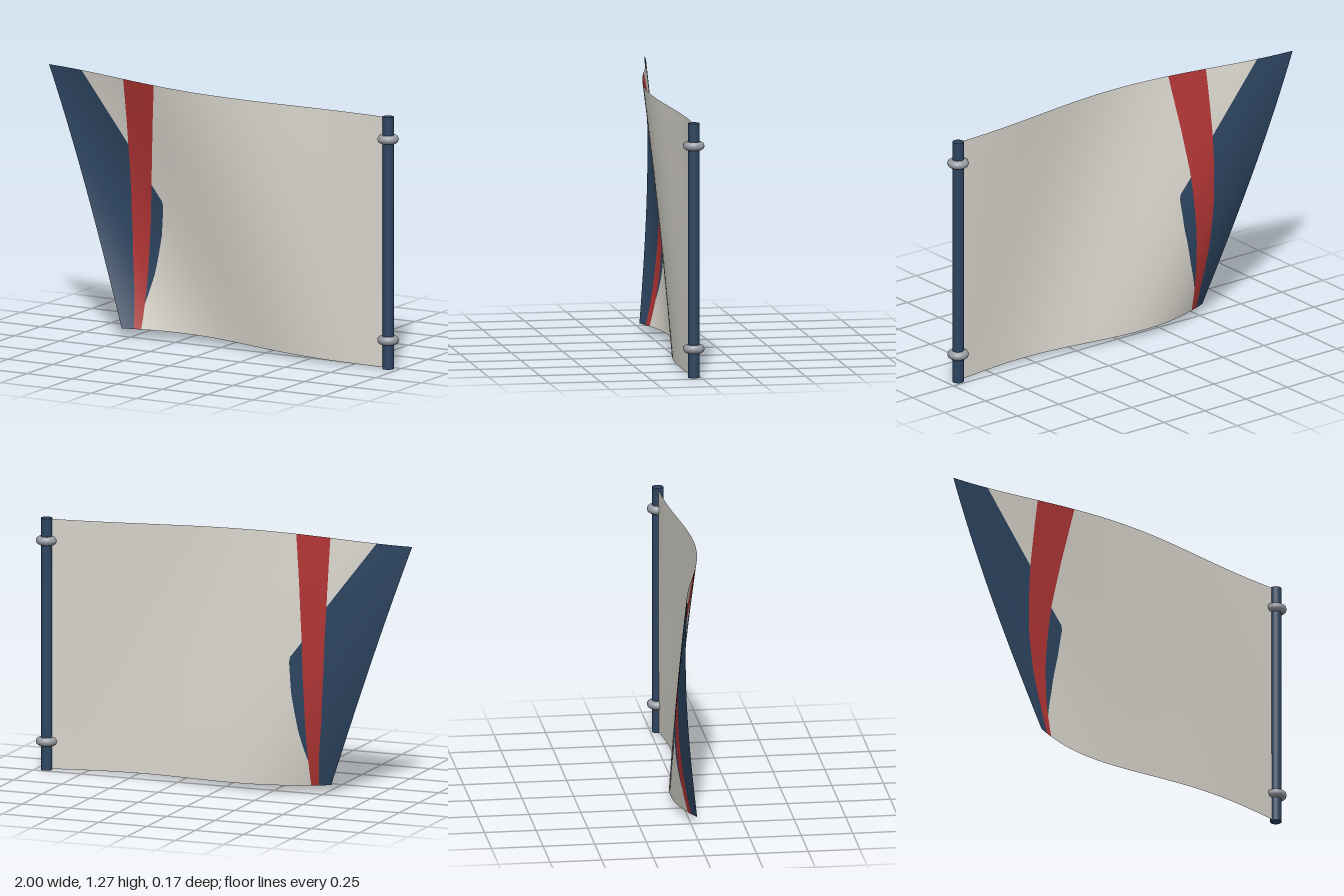
import * as THREE from 'three';

const POLE_X = 0.945, POLE_Z = 0.035, ROWS = 100;

// Waving cloth: u runs from pole (0) to free edge (1), v from bottom to top
const flyX = v => -0.535 - 0.465 * v;
function cloth(x, v) {
  const u = (POLE_X - x) / (POLE_X - flyX(v));
  return new THREE.Vector3(
    x,
    0.004 + 0.04 * u + 1.227 * v,
    POLE_Z + 0.12 * u * Math.sin(5 * u - 0.32 + 1.52 * (1 - v)));
}

// Piecewise linear boundary x(v) from [v, x] points
const boundary = points => v => {
  let i = 1;
  while (i < points.length - 1 && v > points[i][0]) i++;
  const [v0, x0] = points[i - 1], [v1, x1] = points[i];
  return THREE.MathUtils.mapLinear(v, v0, v1, x0, x1);
};

// Strip of cloth between two boundaries, with normals from the wave itself
function strip(name, material, left, right, columns, vMin = 0) {
  const positions = [], normals = [], index = [], e = 0.001;
  for (let r = 0; r <= ROWS; r++) {
    const v = vMin + (1 - vMin) * r / ROWS;
    for (let c = 0; c <= columns; c++) {
      const x = THREE.MathUtils.lerp(left(v), right(v), c / columns);
      const dx = cloth(x + e, v).sub(cloth(x - e, v));
      const dv = cloth(x, v + e).sub(cloth(x, v - e));
      positions.push(...cloth(x, v).toArray());
      normals.push(...dx.cross(dv).normalize().toArray());
      if (r < ROWS && c < columns) {
        const a = r * (columns + 1) + c, b = a + columns + 1;
        index.push(a, a + 1, b + 1, a, b + 1, b);
      }
    }
  }
  const geometry = new THREE.BufferGeometry();
  geometry.setAttribute('position', new THREE.Float32BufferAttribute(positions, 3));
  geometry.setAttribute('normal', new THREE.Float32BufferAttribute(normals, 3));
  geometry.setIndex(index);
  const mesh = new THREE.Mesh(geometry, material);
  mesh.name = name;
  return mesh;
}

export function createModel() {
  const flag = new THREE.Group();
  flag.name = 'flag';
  const mat = (name, color, side = THREE.FrontSide) => {
    const m = new THREE.MeshStandardMaterial({ color, side });
    m.name = name;
    return m;
  };
  const white = mat('offWhiteCloth', 0xd8d5cc, THREE.DoubleSide);
  const navy = mat('navy', 0x2c4460, THREE.DoubleSide);
  const red = mat('redCloth', 0xb03434, THREE.DoubleSide);
  const metal = mat('greyMetal', 0x9a9ea5);

  // Colour boundaries across the cloth
  const redLeft = boundary([[0, -0.48], [0.1, -0.49], [0.26, -0.515], [0.46, -0.533], [0.73, -0.541], [1, -0.54]]);
  const redRight = boundary([[0, -0.445], [0.1, -0.441], [0.34, -0.431], [0.58, -0.412], [0.79, -0.381], [1, -0.345]]);
  const navyRight = boundary([[0, -0.46], [0.1, -0.441], [0.22, -0.4], [0.38, -0.361], [0.5, -0.345],
    [0.52, -0.35], [0.58, -0.41], [0.73, -0.541], [1, -0.805]]);
  const navyInner = v => Math.min(navyRight(v), redLeft(v));
  const navyOuter = v => Math.max(navyRight(v), redRight(v));

  flag.add(
    strip('navyFlyPanel', navy, flyX, navyInner, 10),
    strip('upperWhiteCorner', white, navyInner, redLeft, 8, 0.73),
    strip('redStripe', red, redLeft, redRight, 8),
    strip('navyPoint', navy, redRight, navyOuter, 6),
    strip('mainWhitePanel', white, navyOuter, () => POLE_X, 40));

  // Pole
  const pole = new THREE.Mesh(new THREE.CylinderGeometry(0.028, 0.028, 1.235, 16), navy);
  pole.name = 'pole';
  pole.position.set(POLE_X, 1.235 / 2, POLE_Z);
  flag.add(pole);

  // Rings holding the cloth
  for (const [name, y] of [['lowerRing', 0.14], ['upperRing', 1.125]]) {
    const ring = new THREE.Mesh(new THREE.TorusGeometry(0.031, 0.021, 10, 24), metal);
    ring.name = name;
    ring.rotation.x = Math.PI / 2;
    ring.position.set(POLE_X, y, POLE_Z);
    flag.add(ring);
  }
  return flag;
}
